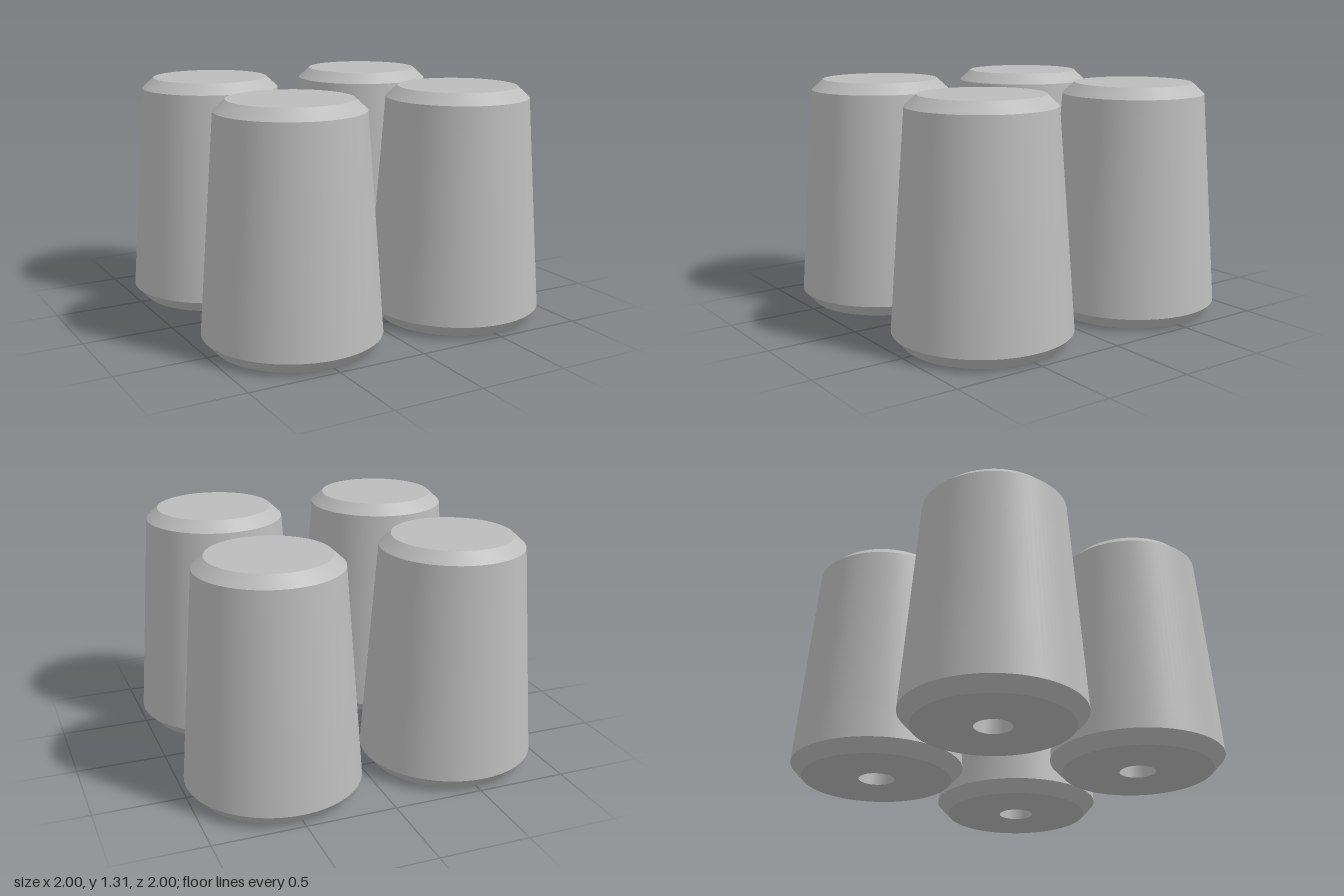
import * as THREE from 'three';
import { mergeGeometries } from 'three/addons/utils/BufferGeometryUtils.js';

// One lathe per profile segment keeps every rim sharp and every wall smooth.
function latheBand(profile, segments = 96) {
  const bands = [];
  for (let i = 0; i < profile.length - 1; i++) {
    const ends = [profile[i], profile[i + 1]].map(([r, y]) => new THREE.Vector2(r, y));
    bands.push(new THREE.LatheGeometry(ends, segments));
  }
  return mergeGeometries(bands);
}

export function createModel() {
  const model = new THREE.Group();
  model.name = 'taperedFeet';

  const grey = new THREE.MeshStandardMaterial({ color: 0xbcbcbc });
  grey.name = 'light grey';

  const HOLE_RADIUS = 0.1, HOLE_DEPTH = 0.8, OFFSET = 0.517;

  // Underside, lower chamfer, tapered wall, upper chamfer and flat top
  const body = latheBand([
    [HOLE_RADIUS, 0], [0.418, 0], [0.483, 0.07], [0.395, 1.247], [0.33, 1.307], [0, 1.307],
  ]);
  // Blind hole in the underside: end face, then wall
  const hole = latheBand([[0, HOLE_DEPTH], [HOLE_RADIUS, HOLE_DEPTH], [HOLE_RADIUS, 0]], 48);

  for (const [side, x] of [['Left', OFFSET], ['Right', -OFFSET]]) {
    for (const [end, z] of [['front', OFFSET], ['back', -OFFSET]]) {
      const foot = new THREE.Group();
      foot.name = `${end}${side}Foot`;
      const bodyMesh = new THREE.Mesh(body, grey);
      bodyMesh.name = 'taperedBody';
      const holeMesh = new THREE.Mesh(hole, grey);
      holeMesh.name = 'screwHole';
      foot.add(bodyMesh, holeMesh);
      foot.position.set(x, 0, z);
      model.add(foot);
    }
  }
  return model;
}
